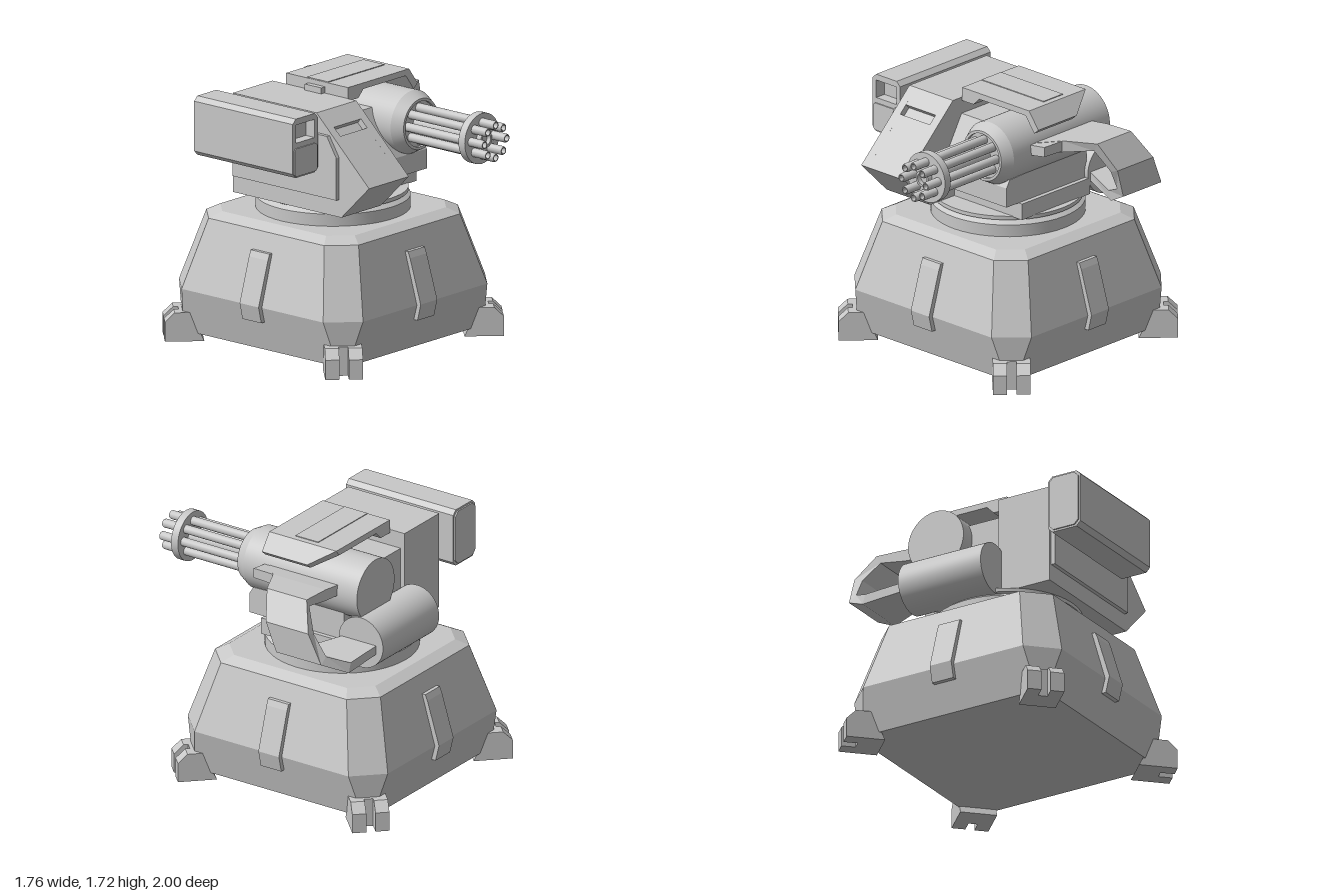
import * as THREE from 'three';
import { toCreasedNormals } from 'three/addons/utils/BufferGeometryUtils.js';

const metal = new THREE.MeshStandardMaterial({ color: 0xc8c8c8 });
metal.name = 'light grey metal';

const V = (x, y) => new THREE.Vector2(x, y);
const shapeOf = (pts) => new THREE.Shape(pts.map(([x, y]) => V(x, y)));

function add(parent, name, geometry) {
  const mesh = new THREE.Mesh(geometry, metal);
  mesh.name = name;
  parent.add(mesh);
  return mesh;
}

// Box given by its limits
function box(x0, x1, y0, y1, z0, z1) {
  return new THREE.BoxGeometry(x1 - x0, y1 - y0, z1 - z0)
    .translate((x0 + x1) / 2, (y0 + y1) / 2, (z0 + z1) / 2);
}

// Outline in (x, y), swept from z0 to z1
function alongZ(pts, z0, z1, hole) {
  const shape = shapeOf(pts);
  if (hole) shape.holes.push(new THREE.Path(hole.map(([x, y]) => V(x, y))));
  return new THREE.ExtrudeGeometry(shape, { depth: z1 - z0, bevelEnabled: false }).translate(0, 0, z0);
}

// Outline in (z, y), swept from x0 to x1
function alongX(pts, x0, x1) {
  return new THREE.ExtrudeGeometry(shapeOf(pts), { depth: x1 - x0, bevelEnabled: false })
    .rotateY(-Math.PI / 2).translate(x1, 0, 0);
}

// Turned part with sharp edges; profile is (radius, height)
function turned(pts, segments) {
  return toCreasedNormals(new THREE.LatheGeometry(pts.map(([r, y]) => V(r, y)), segments), 0.45);
}

// Flat-faced skin over equal-length rings, capped at both ends
function loft(rings) {
  const pos = [];
  const tri = (a, b, c) => pos.push(...a, ...b, ...c);
  const n = rings[0].length;
  for (let i = 0; i < rings.length - 1; i++) {
    for (let j = 0; j < n; j++) {
      const k = (j + 1) % n, lo = rings[i], hi = rings[i + 1];
      tri(lo[j], lo[k], hi[k]);
      tri(lo[j], hi[k], hi[j]);
    }
  }
  const last = rings[rings.length - 1];
  for (let j = 1; j < n - 1; j++) {
    tri(rings[0][0], rings[0][j + 1], rings[0][j]);
    tri(last[0], last[j], last[j + 1]);
  }
  const g = new THREE.BufferGeometry();
  g.setAttribute('position', new THREE.Float32BufferAttribute(pos, 3));
  g.computeVertexNormals();
  return g;
}

// Square with cut corners: h = half width, f = half length of the straight side
const octagon = (h, f, y) =>
  [[h, f], [h, -f], [f, -h], [-f, -h], [-h, -f], [-h, f], [-f, h], [f, h]].map(([x, z]) => [x, y, z]);

function buildBase() {
  const base = new THREE.Group();
  base.name = 'base';
  base.position.set(-0.035, 0, -0.148);

  add(base, 'pedestal', loft([
    octagon(0.70, 0.655, 0.05), octagon(0.78, 0.60, 0.35),
    octagon(0.645, 0.49, 0.81), octagon(0.57, 0.44, 0.85),
  ]));
  add(base, 'turntable', turned([
    [0, 0.84], [0.495, 0.84], [0.495, 0.93], [0.46, 0.955],
    [0.482, 0.96], [0.482, 0.985], [0, 0.985],
  ], 48));

  const panel = [[0.64, 0.69], [0.705, 0.69], [0.722, 0.65], [0.812, 0.36], [0.785, 0.25], [0.70, 0.25]];
  const heel = [[0.83, 0], [0.92, 0.19], [0.99, 0.19], [0.99, 0]];
  const toe = [[0.99, 0], [0.99, 0.19], [1.02, 0.19], [1.082, 0.13], [1.082, 0]];
  for (let i = 0; i < 4; i++) {
    add(base, 'sidePanel', alongX(panel, -0.08, 0.08)).rotation.y = i * Math.PI / 2;
    // Split-toed foot on each corner
    const foot = new THREE.Group();
    foot.name = 'foot';
    foot.rotation.y = Math.PI / 4 + i * Math.PI / 2;
    add(foot, 'heel', alongX(heel, -0.12, 0.12));
    add(foot, 'toe', alongX(toe, -0.12, -0.03));
    add(foot, 'toe', alongX(toe, 0.03, 0.12));
    base.add(foot);
  }
  return base;
}

function buildGun() {
  const gun = new THREE.Group();
  gun.name = 'rotaryGun';
  gun.position.set(0.228, 1.428, 0);
  const part = (name, pts, segments) => add(gun, name, turned(pts, segments).rotateX(Math.PI / 2));

  part('gunHousing', [
    [0, -0.595], [0.208, -0.595], [0.208, 0.29], [0.168, 0.365], [0.15, 0.365], [0.15, 0.345], [0, 0.345],
  ], 48);
  part('barrelClamp', [[0, 0.83], [0.167, 0.83], [0.167, 0.883], [0, 0.883]], 40);
  part('barrelHub', [[0, 0.33], [0.055, 0.33], [0.055, 0.92], [0.04, 0.92], [0.04, 0.89], [0, 0.89]], 24);
  for (let i = 0; i < 8; i++) {
    const a = i * Math.PI / 4;
    part('barrel', [
      [0, 0.33], [0.029, 0.33], [0.029, 0.99], [0.025, 1.0], [0.019, 1.0], [0.019, 0.92], [0, 0.92],
    ], 16).position.set(0.107 * Math.cos(a), 0.107 * Math.sin(a), 0);
  }
  return gun;
}

function buildPod() {
  const pod = new THREE.Group();
  pod.name = 'sidePod';
  const outline = (x0, x1, y0, y1, c) => [
    [x0 + c, y0], [x1 - c, y0], [x1, y0 + c], [x1, y1 - c],
    [x1 - c, y1], [x0 + c, y1], [x0, y1 - c], [x0, y0 + c],
  ];
  const skin = outline(-0.862, -0.62, 1.27, 1.66, 0.03);
  const recess = [[-0.83, 1.5], [-0.65, 1.5], [-0.65, 1.62], [-0.83, 1.62]];
  add(pod, 'podBody', alongZ(skin, -0.6, 0.16));
  add(pod, 'podFrontFrame', alongZ(skin, 0.16, 0.235, recess));
  add(pod, 'podLowerCover', alongZ(outline(-0.85, -0.632, 1.28, 1.465, 0.015), 0.235, 0.243));
  add(pod, 'podRearCover', alongZ(outline(-0.85, -0.632, 1.282, 1.648, 0.03), -0.61, -0.6));
  add(pod, 'podMount', alongX(
    [[-0.5, 1.1], [0.38, 1.1], [0.38, 1.38], [0.3, 1.51], [-0.5, 1.51]], -0.607, -0.57));
  add(pod, 'podBracket', box(-0.63, -0.6, 1.33, 1.47, -0.4, 0.1));
  return pod;
}

function buildTurret() {
  const turret = new THREE.Group();
  turret.name = 'turret';

  // Wedge-fronted cabin, notched across its slope for the viewing slot
  const below = [[-0.52, 0.985], [0.4, 0.985], [0.635, 1.22]];
  const above = [[0.19, 1.64], [-0.52, 1.64]];
  const notch = [[0.338, 1.5], [0.31, 1.471], [0.257, 1.521], [0.285, 1.55]];
  add(turret, 'cabinSide', alongX([...below, ...above], -0.58, -0.52));
  add(turret, 'cabinSlot', alongX([...below, ...notch, ...above], -0.52, -0.26));
  add(turret, 'cabinSide', alongX([...below, ...above], -0.26, -0.197));

  // Centre body and its plinth
  add(turret, 'centreBody', alongX(
    [[-0.49, 1.09], [0.29, 1.09], [0.29, 1.22], [0.11, 1.53], [-0.49, 1.53]], -0.2, 0.25));
  add(turret, 'gunCradle', alongX(
    [[-0.45, 1.09], [0.29, 1.09], [0.29, 1.22], [0.26, 1.27], [-0.45, 1.3]], 0.25, 0.37));
  add(turret, 'plinth', box(-0.2, 0.4, 0.98, 1.09, -0.45, 0.177));

  // Rear drum
  add(turret, 'rearDrum', turned([[0, -0.22], [0.172, -0.22], [0.172, 0.4], [0, 0.4]], 48)
    .rotateZ(-Math.PI / 2)).position.set(0, 1.122, -0.602);

  // Roof shield with a slanted flap whose rear edge tapers forward
  add(turret, 'roofShield', alongZ([
    [-0.19, 1.62], [-0.09, 1.62], [-0.04, 1.67], [0.37, 1.67], [0.4, 1.71], [-0.19, 1.71],
  ], -0.41, 0.113));
  const flap = (z0, z1, pts) => pts.map(([x, y], i) => [x, y, i < 2 ? z1 : z0]);
  add(turret, 'roofFlap', loft([
    [[0.4, 1.71, -0.41], [0.4, 1.71, 0.113], [0.37, 1.67, 0.113], [0.37, 1.67, -0.41]],
    [[0.482, 1.6, -0.24], [0.482, 1.6, 0.113], [0.445, 1.567, 0.113], [0.445, 1.567, -0.24]],
  ]));
  add(turret, 'roofPanel', box(-0.185, 0.36, 1.708, 1.715, -0.24, -0.062));
  add(turret, 'roofLatch', box(-0.228, -0.185, 1.635, 1.68, -0.22, -0.08));

  // Feed arm looping from the gun to the drum: outer x, y, inner x, y, front z, back z
  const arm = [
    [0.38, 1.485, 0.38, 1.415, 0.13, -0.44],
    [0.56, 1.508, 0.56, 1.43, -0.03, -0.44],
    [0.77, 1.515, 0.74, 1.46, -0.13, -0.44],
    [0.88, 1.34, 0.82, 1.32, -0.2, -0.53],
    [0.865, 1.14, 0.81, 1.18, -0.27, -0.62],
    [0.7, 1.05, 0.68, 1.115, -0.33, -0.72],
    [0.38, 1.07, 0.38, 1.13, -0.46, -0.72],
  ];
  add(turret, 'feedArm', loft(arm.map(([xo, yo, xi, yi, f, b]) =>
    [[xo, yo, b], [xo, yo, f], [xi, yi, f], [xi, yi, b]])));
  add(turret, 'feedRail', loft([
    [[0.4, 1.485, -0.3], [0.4, 1.485, 0.13], [0.4, 1.415, 0.13], [0.4, 1.415, -0.3]],
    [[0.57, 1.508, -0.3], [0.55, 1.505, 0.13], [0.55, 1.44, 0.13], [0.57, 1.43, -0.3]],
  ]));

  turret.add(buildGun(), buildPod());
  return turret;
}

export function createModel() {
  const model = new THREE.Group();
  model.name = 'gunTurret';
  model.add(buildBase(), buildTurret());
  return model;
}
